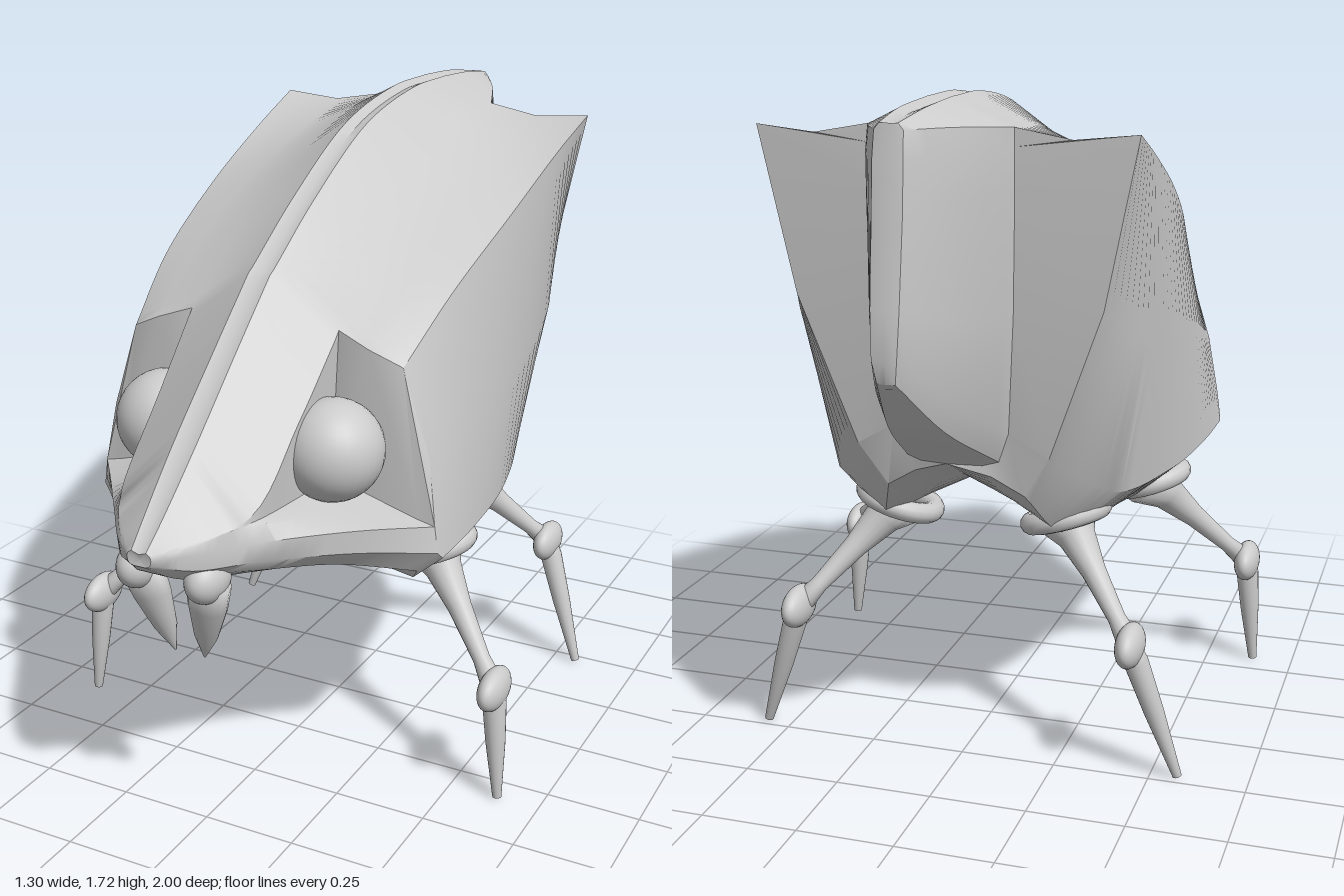
import * as THREE from 'three';
import { toCreasedNormals } from 'three/addons/utils/BufferGeometryUtils.js';

const V = (x, y, z) => new THREE.Vector3(x, y, z);
const material = new THREE.MeshStandardMaterial({ color: 0xcccccc, side: THREE.DoubleSide });

function mesh(name, geometry) {
  const m = new THREE.Mesh(geometry, material);
  m.name = name;
  return m;
}

// Half section from the ridge, round the +x side, to the belly line: [x, y, optional z]
const section = (z, pts) => pts.map(p => V(p[0], p[1], p[2] ?? z));

// Smooth interpolation through a run of sections
function smoothRun(sections, steps) {
  const curves = sections[0].map((_, c) => new THREE.CatmullRomCurve3(sections.map(s => s[c])));
  return Array.from({ length: steps + 1 }, (_, i) => curves.map(k => k.getPoint(i / steps)));
}

// Mirror each half section into a ring and join the rings
function loft(rows) {
  const rings = rows.map(r => [...r, ...r.slice(1, -1).reverse().map(p => V(-p.x, p.y, p.z))]);
  const n = rings[0].length, pos = [];
  for (let r = 0; r < rings.length - 1; r++)
    for (let c = 0; c < n; c++) {
      const a = rings[r][c], b = rings[r][(c + 1) % n];
      const d = rings[r + 1][c], e = rings[r + 1][(c + 1) % n];
      // mirrored diagonals keep both halves alike
      const tris = c < n / 2 ? [a, b, d, b, e, d] : [a, b, e, a, e, d];
      for (const p of tris) pos.push(p.x, p.y, p.z);
    }
  const g = new THREE.BufferGeometry();
  g.setAttribute('position', new THREE.Float32BufferAttribute(pos, 3));
  return toCreasedNormals(g, 0.6);
}

function bodyGeometry() {
  // Head, with a notch for each eye between the centre band and the lip
  const head = [
    section(1, [[0, .85], [.02, .857], [.03, .85], [.031, .847], [.032, .845], [.033, .84], [.03, .828], [.025, .822], [.015, .82], [0, .82]]),
    section(.93, [[0, .91], [.025, .92], [.09, .87], [.095, .865], [.1, .86], [.105, .84], [.1, .8], [.08, .79], [.05, .77], [0, .77]]),
    section(.8, [[0, 1.03], [.03, 1.04], [.18, .9], [.18, .885], [.186, .88], [.205, .84], [.2, .79], [.17, .76], [.1, .73], [0, .73]]),
    section(.6, [[0, 1.21], [.03, 1.22], [.2, 1.07], [.195, .875], [.3, .84], [.355, .82], [.35, .76], [.3, .72], [.14, .7], [0, .7]]),
    section(.43, [[0, 1.36], [.03, 1.37], [.21, 1.23], [.2, .87], [.44, .8], [.485, .79], [.495, .72], [.44, .66], [.15, .69], [0, .69]]),
  ];
  // Shell from the brow to the wing ends
  const shell = [
    section(.41, [[0, 1.37], [.03, 1.38], [.21, 1.25], [.3, 1.22, .43], [.385, 1.18], [.46, .95], [.5, .7], [.42, .63], [.15, .68], [0, .69]]),
    section(.2, [[0, 1.5], [.03, 1.51], [.2, 1.4], [.32, 1.36], [.42, 1.32], [.475, 1], [.495, .7], [.37, .575], [.16, .62], [0, .69]]),
    section(-.1, [[0, 1.645], [.03, 1.655], [.19, 1.54], [.32, 1.49], [.45, 1.455], [.48, 1.05], [.46, .7], [.32, .59], [.14, .64], [0, .7]]),
    section(-.4, [[0, 1.7], [.03, 1.71], [.18, 1.63], [.32, 1.57], [.465, 1.57], [.455, 1.12], [.37, .72], [.24, .6], [.12, .67], [0, .73]]),
    section(-.6, [[0, 1.7], [.03, 1.712], [.18, 1.645, -.61], [.32, 1.62, -.61], [.475, 1.635], [.39, 1.22, -.585], [.25, .84, -.555], [.18, .73, -.53], [.1, .78, -.55], [0, .82]]),
  ];
  // Tail wedge, starting in the corner behind the wings
  const tail = [
    section(-.61, [[0, 1.7], [.03, 1.712], [.18, 1.645], [.18, 1.6], [.18, 1.5], [.17, 1.2, -.59], [.15, .9, -.565], [.12, .82, -.55], [.08, .81, -.56], [0, .83]]),
    section(-.8, [[0, 1.69], [.03, 1.7], [.105, 1.66], [.112, 1.6], [.112, 1.5], [.11, 1.22], [.095, 1.03], [.07, .96], [.04, .95], [0, .95]]),
    section(-.94, [[0, 1.675], [.022, 1.68], [.034, 1.665], [.036, 1.6, -.95], [.036, 1.48, -.96], [.034, 1.28, -.985], [.03, 1.17, -.995], [.022, 1.115, -.985], [.01, 1.1, -.97], [0, 1.1, -.965]]),
  ];
  const flatten = (s, dz) => s.map(p => V(0, p.y, p.z + dz));
  return loft([
    head[0].map(() => V(0, .835, .995)),
    ...smoothRun(head, 24), ...smoothRun(shell, 28), ...smoothRun(tail, 10),
    flatten(tail[2], -.005),
  ]);
}

// Turned limb from a to b; profile is [radius, fraction of length]
function limb(name, a, b, profile, flat = 1) {
  const dir = b.clone().sub(a), len = dir.length();
  const pts = profile.map(([r, t]) => new THREE.Vector2(r, t * len));
  const m = mesh(name, new THREE.LatheGeometry([new THREE.Vector2(0, 0), ...pts, new THREE.Vector2(0, len)], 16).scale(flat, 1, 1));
  m.position.copy(a);
  m.quaternion.setFromUnitVectors(V(0, 1, 0), dir.normalize());
  return m;
}

function ball(name, p, s) {
  const m = mesh(name, new THREE.SphereGeometry(1, 32, 20));
  m.position.copy(p);
  m.scale.set(...s);
  return m;
}

const thigh = [[.085, 0], [.05, .18], [.032, .45], [.023, .8], [.032, 1]];
const shin = [[.026, 0], [.032, .12], [.026, .5], [.012, 1]];
const fang = [[.058, 0], [.052, .3], [.032, .7], [.003, 1]];

function leg(name, side, hip, knee, foot, tilt) {
  const g = new THREE.Group();
  g.name = name;
  const [h, k, f] = [hip, knee, foot].map(p => V(p[0] * side, p[1], p[2]));
  // Raised collar round the hip
  const collar = mesh('hipCollar', new THREE.TorusGeometry(.095, .028, 12, 32).rotateX(Math.PI / 2));
  collar.position.copy(h);
  collar.rotation.set(tilt, 0, side * .3);
  g.add(collar, limb('thigh', h, k, thigh), ball('knee', k, [.036, .055, .082]), limb('shin', k, f, shin));
  return g;
}

export function createModel() {
  const model = new THREE.Group();
  model.name = 'beetle';
  model.add(mesh('bodyShell', bodyGeometry()));

  for (const side of [1, -1]) {
    const label = side > 0 ? 'left' : 'right';
    model.add(ball(label + 'Eye', V(.24 * side, .975, .5), [.13, .13, .13]));
    model.add(leg(label + 'FrontLeg', side, [.35, .595, .13], [.61, .31, .31], [.635, 0, .325], 0));
    model.add(leg(label + 'RearLeg', side, [.23, .62, -.32], [.45, .36, -.51], [.57, 0, -.47], .12));
    // Downward fangs under the nose
    model.add(ball(label + 'FangRoot', V(.095 * side, .75, .86), [.05, .06, .072]));
    model.add(limb(label + 'Fang', V(.095 * side, .74, .855), V(.042 * side, .5, .8), fang, .75));
  }
  return model;
}
